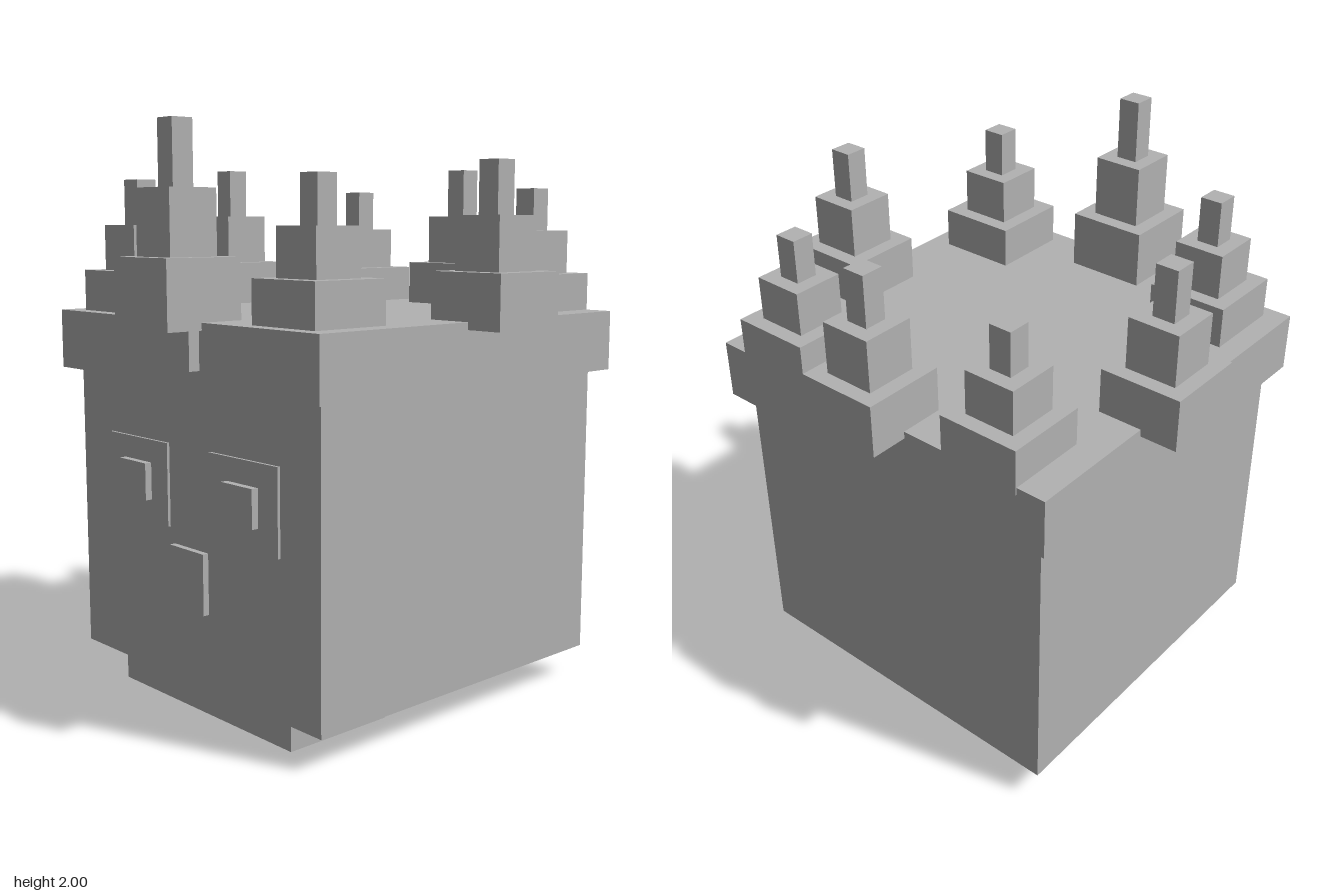
import * as THREE from 'three';

const stone = new THREE.MeshStandardMaterial({ color: 0xb2b2b2 });
stone.name = 'grey';

// Box given by its lower and upper corners
function box(name, [x0, y0, z0], [x1, y1, z1]) {
  const mesh = new THREE.Mesh(new THREE.BoxGeometry(x1 - x0, y1 - y0, z1 - z0), stone);
  mesh.position.set((x0 + x1) / 2, (y0 + y1) / 2, (z0 + z1) / 2);
  mesh.name = name;
  return mesh;
}

// Three stacked square tiers that shrink upwards
function spike(name, x, z, tops) {
  const group = new THREE.Group();
  group.name = name;
  const halves = [0.146, 0.092, 0.04];
  let y = 1.33;
  tops.forEach((top, i) => {
    const h = halves[i];
    group.add(box(`${name}Tier${i + 1}`, [x - h, y, z - h], [x + h, top, z + h]));
    y = top;
  });
  return group;
}

export function createModel() {
  const model = new THREE.Group();
  model.name = 'crownedHead';

  // Head, jaw and crown band
  model.add(
    box('head', [-0.65, 0.11, -0.65], [0.65, 1.145, 0.65]),
    box('jaw', [-0.462, 0, 0.19], [0.462, 0.11, 0.61]),
    box('crownBand', [-0.702, 1.145, -0.702], [0.702, 1.355, 0.702]),
    box('crownJewel', [-0.13, 1.2, 0.66], [0.13, 1.4, 0.742]),
    box('nose', [-0.093, 0.375, 0.64], [0.093, 0.585, 0.672]),
  );

  // Eyes
  for (const [side, s] of [['left', 1], ['right', -1]]) {
    const cx = s * 0.29;
    model.add(
      box(`${side}Eye`, [cx - 0.173, 0.64, 0.64], [cx + 0.173, 0.93, 0.66]),
      box(`${side}Pupil`, [cx - 0.078, 0.72, 0.65], [cx + 0.078, 0.85, 0.685]),
    );
  }

  // Crown spikes: tall one in front, lower ones around
  model.add(spike('frontSpike', 0, 0.688, [1.56, 1.78, 2]));
  model.add(spike('backSpike', 0, -0.69, [1.513, 1.693, 1.87]));
  for (const [side, s] of [['left', 1], ['right', -1]]) {
    model.add(
      spike(`${side}Spike`, s * 0.688, -0.08, [1.513, 1.693, 1.87]),
      spike(`${side}FrontSpike`, s * 0.477, 0.502, [1.5, 1.66, 1.82]),
      spike(`${side}BackSpike`, s * 0.45, -0.56, [1.487, 1.64, 1.79]),
    );
  }
  return model;
}
